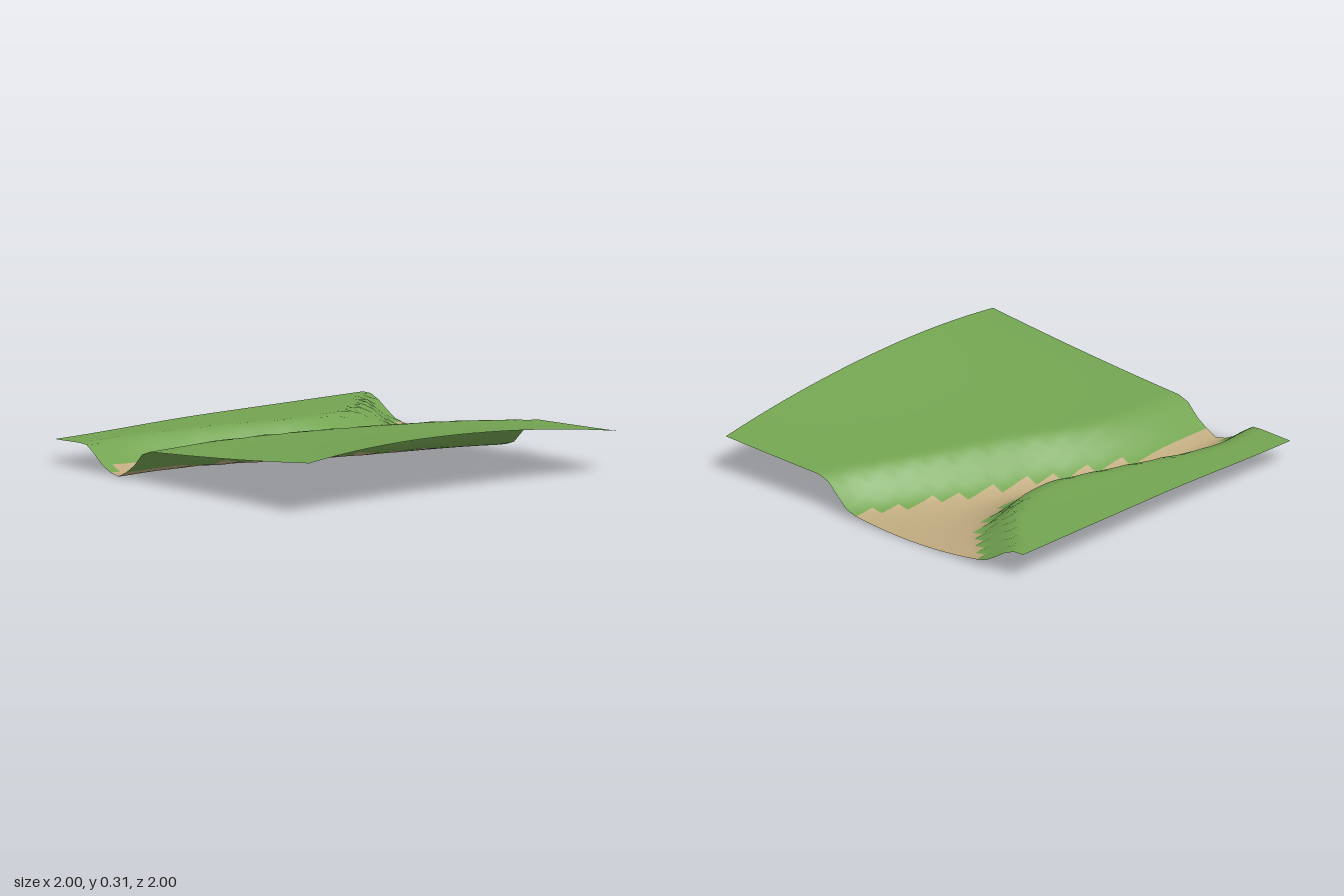
import * as THREE from 'three';

const N = 32; // terrain cells per side

// River bed edges, (left x, right x) at equal steps of z from -1 to 1
const edges = new THREE.SplineCurve([
  [-0.70, 0.14], [-0.48, 0.045], [-0.365, -0.05], [-0.335, -0.145], [-0.405, -0.235],
  [-0.485, -0.335], [-0.56, -0.41], [-0.61, -0.445], [-0.585, -0.445],
].map(([l, r]) => new THREE.Vector2(l, r)));

// First and last sandy cell column for each row, back to front
const sandFrom = [5, 6, 7, 8, 9, 9, 10, 10, 10, 11, 11, 11, 10, 10, 10, 10,
  9, 9, 9, 8, 8, 8, 7, 7, 7, 7, 6, 6, 6, 6, 6, 7];
const sandTo = [18, 18, 17, 17, 16, 16, 16, 15, 15, 14, 14, 14, 13, 13, 13, 12,
  12, 11, 11, 11, 10, 10, 10, 9, 9, 9, 9, 9, 9, 9, 9, 9];

// Height of the meadow away from the river
function meadow(x, z) {
  const t = (x + 1) / 2;
  const swell = 0.122 - (z > 0.3 ? 0.085 : 0.06) * (z - 0.3) ** 2;
  const frontDip = 0.018 * (1 - t) * THREE.MathUtils.smoothstep(z, 0, 1);
  return 0.145 + 0.05 * t + t * t * swell - frontDip;
}

// Shallow curved bed, rising through smooth banks to the meadow
function height(x, z) {
  const { x: left, y: right } = edges.getPoint((z + 1) / 2);
  const u = (x - (left + right) / 2) / ((right - left) / 2);
  const lip = 0.033;
  if (Math.abs(u) <= 1) return 0.002 + (lip - 0.002) * u * u;
  const back = THREE.MathUtils.smoothstep(-z, 0.4, 1);
  const onLeft = x < left;
  const distance = onLeft ? left - x : x - right;
  const bankWidth = onLeft ? 0.19 + 0.07 * back : 0.175 + 0.045 * back;
  const s = THREE.MathUtils.smoothstep(distance, 0, bankWidth);
  return THREE.MathUtils.lerp(lip, meadow(x, z), s);
}

export function createModel() {
  const group = new THREE.Group();
  group.name = 'riverValley';

  const grass = new THREE.MeshStandardMaterial({ color: 0x74a552, side: THREE.DoubleSide });
  grass.name = 'grass';
  const sand = new THREE.MeshStandardMaterial({ color: 0xc0ab80, side: THREE.DoubleSide });
  sand.name = 'sand';

  // Height field
  const terrain = new THREE.PlaneGeometry(2, 2, N, N).rotateX(-Math.PI / 2);
  const pos = terrain.attributes.position;
  for (let i = 0; i < pos.count; i++) pos.setY(i, height(pos.getX(i), pos.getZ(i)));
  terrain.computeVertexNormals();

  // Share out the cells between banks and bed, keeping the common smooth normals
  const grassCells = [], sandCells = [];
  for (let row = 0; row < N; row++) {
    for (let col = 0; col < N; col++) {
      const isSand = col >= sandFrom[row] && col < sandTo[row];
      const start = (row * N + col) * 6;
      for (let k = 0; k < 6; k++) (isSand ? sandCells : grassCells).push(terrain.index.getX(start + k));
    }
  }
  const addPart = (name, cells, material) => {
    const geometry = terrain.clone();
    geometry.setIndex(cells);
    const mesh = new THREE.Mesh(geometry, material);
    mesh.name = name;
    group.add(mesh);
  };
  addPart('grassBanks', grassCells, grass);
  addPart('riverBed', sandCells, sand);
  return group;
}
